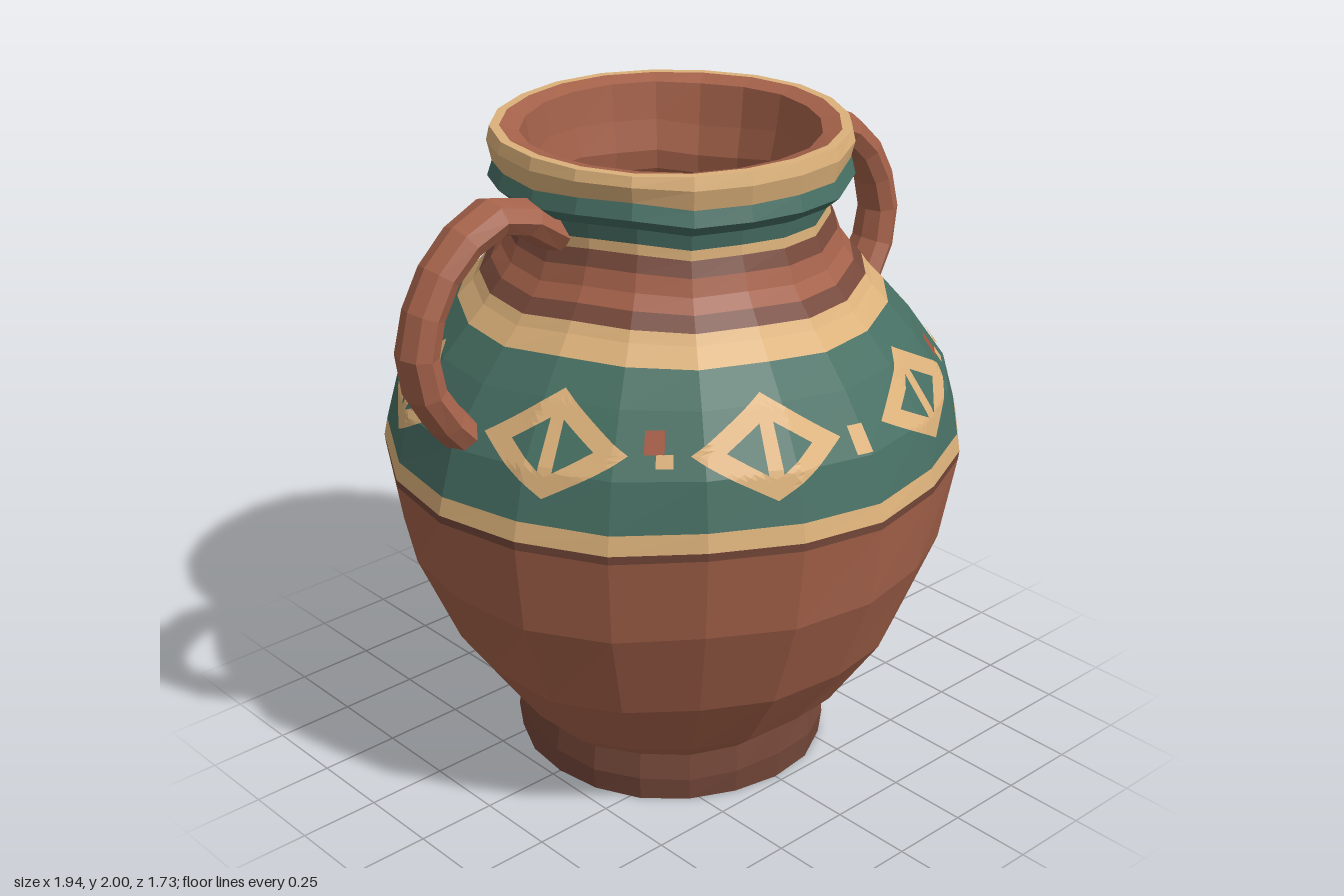
import * as THREE from 'three';

const SIDES = 20;
const STEP = (Math.PI * 2) / SIDES;

const mat = (name, color) => {
  const m = new THREE.MeshStandardMaterial({ color });
  m.name = name;
  return m;
};

// Hand-thrown unevenness: shifts a ring point slightly up/down and in/out
function at(a, r, y) {
  const fade = Math.max(0, Math.min(1, y * 8, (2 - y) * 12));
  const dy = fade * (0.011 * Math.sin(3 * a + 1 + 2 * y) + 0.007 * Math.sin(7 * a + 2 - 3 * y));
  const k = 1 + 0.008 * Math.sin(5 * a + 3 * y) + 0.005 * Math.sin(2 * a + 5 * y);
  return new THREE.Vector3(r * k * Math.sin(a), y + dy, r * k * Math.cos(a));
}

// Flat-faced mesh from a list of quads (corners counter-clockwise)
function quadMesh(name, quads, material) {
  const pts = [];
  for (const [a, b, c, d] of quads) pts.push(a, b, c, a, c, d);
  const geo = new THREE.BufferGeometry().setFromPoints(pts);
  geo.computeVertexNormals();
  const mesh = new THREE.Mesh(geo, material);
  mesh.name = name;
  return mesh;
}

// One painted or plain zone of the pot, through rings of [radius, height]
function band(name, rings, material) {
  const quads = [];
  for (let j = 0; j < rings.length - 1; j++) {
    for (let i = 0; i < SIDES; i++) {
      const a = i * STEP, b = ((i + 1) % SIDES) * STEP;
      quads.push([at(a, ...rings[j]), at(b, ...rings[j]), at(b, ...rings[j + 1]), at(a, ...rings[j + 1])]);
    }
  }
  return quadMesh(name, quads, material);
}

// Shoulder zone that carries the painted motifs
const SHOULDER = [[0.858, 1.1], [0.82, 1.24], [0.71, 1.4], [0.632, 1.49]];

function onShoulder(a, y) {
  let j = 0;
  while (j < SHOULDER.length - 2 && y > SHOULDER[j + 1][1]) j++;
  const [r0, y0] = SHOULDER[j], [r1, y1] = SHOULDER[j + 1];
  const r = r0 + ((r1 - r0) * (y - y0)) / (y1 - y0) + 0.007;
  const i = Math.floor(a / STEP);
  return at(i * STEP, r, y).lerp(at((i + 1) * STEP, r, y), a / STEP - i);
}

// Quads of a four-cornered painted patch in (angle, height), laid on the shoulder
function patch(corners, nu, nv) {
  const [A, B, C, D] = corners.map(([a, y]) => new THREE.Vector2(a, y));
  const p = (u, v) => {
    const q = A.clone().lerp(B, u).lerp(D.clone().lerp(C, u), v);
    return onShoulder(q.x, q.y);
  };
  const quads = [];
  for (let i = 0; i < nu; i++) {
    for (let j = 0; j < nv; j++) {
      const u = i / nu, U = (i + 1) / nu, v = j / nv, V = (j + 1) / nv;
      quads.push([p(u, v), p(U, v), p(U, V), p(u, V)]);
    }
  }
  return quads;
}

const rect = (a, y, w, h) => [[a - w, y - h], [a + w, y - h], [a + w, y + h], [a - w, y + h]];

// Diamond outline with a vertical bar
function diamond(a, material) {
  const y = 1.3, w = 0.285, h = 0.13;
  const dirs = [[1, 0], [0, 1], [-1, 0], [0, -1]];
  const corner = (k, s) => [a + dirs[k % 4][0] * w * s, y + dirs[k % 4][1] * h * s];
  const quads = patch(rect(a, y, 0.026, 0.075), 2, 6);
  for (let k = 0; k < 4; k++) {
    quads.push(...patch([corner(k, 0.56), corner(k, 1), corner(k + 1, 1), corner(k + 1, 0.56)], 4, 10));
  }
  return quadMesh('diamondMotif', quads, material);
}

// Flared strap handle for one side
function handle(side, material) {
  const path = new THREE.CatmullRomCurve3(
    [[0.44, 1.765], [0.61, 1.858], [0.8, 1.765], [0.91, 1.55], [0.885, 1.39], [0.76, 1.23]]
      .map(([x, y]) => new THREE.Vector3(x * side, y, 0)));
  const segs = 9, radial = 8;
  const tube = new THREE.TubeGeometry(path, segs, 0.056, radial, false);
  const pos = tube.attributes.position;
  for (let i = 0; i < pos.count; i++) {
    const t = Math.floor(i / (radial + 1)) / segs;
    pos.setZ(i, pos.getZ(i) * (1.2 + 0.5 * (2 * t - 1) ** 2));
  }
  const geo = tube.toNonIndexed();
  geo.computeVertexNormals();
  const mesh = new THREE.Mesh(geo, material);
  mesh.name = side > 0 ? 'leftHandle' : 'rightHandle';
  mesh.position.z = -0.02;
  return mesh;
}

export function createModel() {
  const clay = mat('terracotta', 0xa5624a);
  const brown = mat('darkBrown', 0x76483a);
  const teal = mat('teal', 0x476f63);
  const sand = mat('sand', 0xdcb17a);
  const rust = mat('rust', 0xa2563e);
  clay.side = THREE.DoubleSide;

  const pot = new THREE.Group();
  pot.name = 'jar';

  // Foot, body, neck and rim from the bottom up, then the inside back down
  pot.add(
    band('foot', [[0, 0], [0.475, 0], [0.485, 0.08], [0.475, 0.165]], brown),
    band('lowerBody', [[0.475, 0.165], [0.55, 0.23], [0.71, 0.46], [0.83, 0.76], [0.868, 1.02]], clay),
    band('bodyLine', [[0.868, 1.02], [0.87, 1.045]], brown),
    band('bodyStripe', [[0.87, 1.045], [0.858, 1.1]], sand),
    band('shoulder', SHOULDER, teal),
    band('shoulderStripe', [[0.632, 1.49], [0.585, 1.54], [0.565, 1.57]], sand),
    band('shoulderLine', [[0.565, 1.57], [0.53, 1.61]], brown),
    band('lowerNeck', [[0.53, 1.61], [0.5, 1.65], [0.482, 1.7]], clay),
    band('neckLine', [[0.482, 1.7], [0.462, 1.745]], brown),
    band('neckStripe', [[0.462, 1.745], [0.46, 1.775]], sand),
    band('upperNeck', [[0.46, 1.775], [0.468, 1.82], [0.49, 1.83], [0.53, 1.865], [0.515, 1.91]], teal),
    band('rim', [[0.515, 1.91], [0.528, 1.965], [0.518, 2], [0.49, 2]], sand),
    band('inside', [[0.49, 2], [0.435, 1.985], [0.42, 1.87], [0.4, 1.78], [0.41, 1.72], [0.5, 1.57],
      [0.64, 1.4], [0.78, 1.1], [0.74, 0.76], [0.62, 0.46], [0.46, 0.26], [0, 0.26]], clay),
  );

  // Painted diamonds with small dabs between them
  for (let k = 0; k < 8; k++) {
    const a = (k * Math.PI) / 4 + Math.PI * 2;
    pot.add(diamond(a + Math.PI / 8, sand));
    if (k % 2) {
      pot.add(quadMesh('rustDab', patch(rect(a - 0.018, 1.33, 0.036, 0.028), 3, 3), rust));
      pot.add(quadMesh('sandDab', patch(rect(a + 0.018, 1.287, 0.03, 0.016), 3, 2), sand));
    } else {
      pot.add(quadMesh('sandDab', patch(rect(a - 0.03, 1.285, 0.034, 0.036), 3, 3), sand));
    }
  }

  pot.add(handle(1, clay), handle(-1, clay));
  return pot;
}
